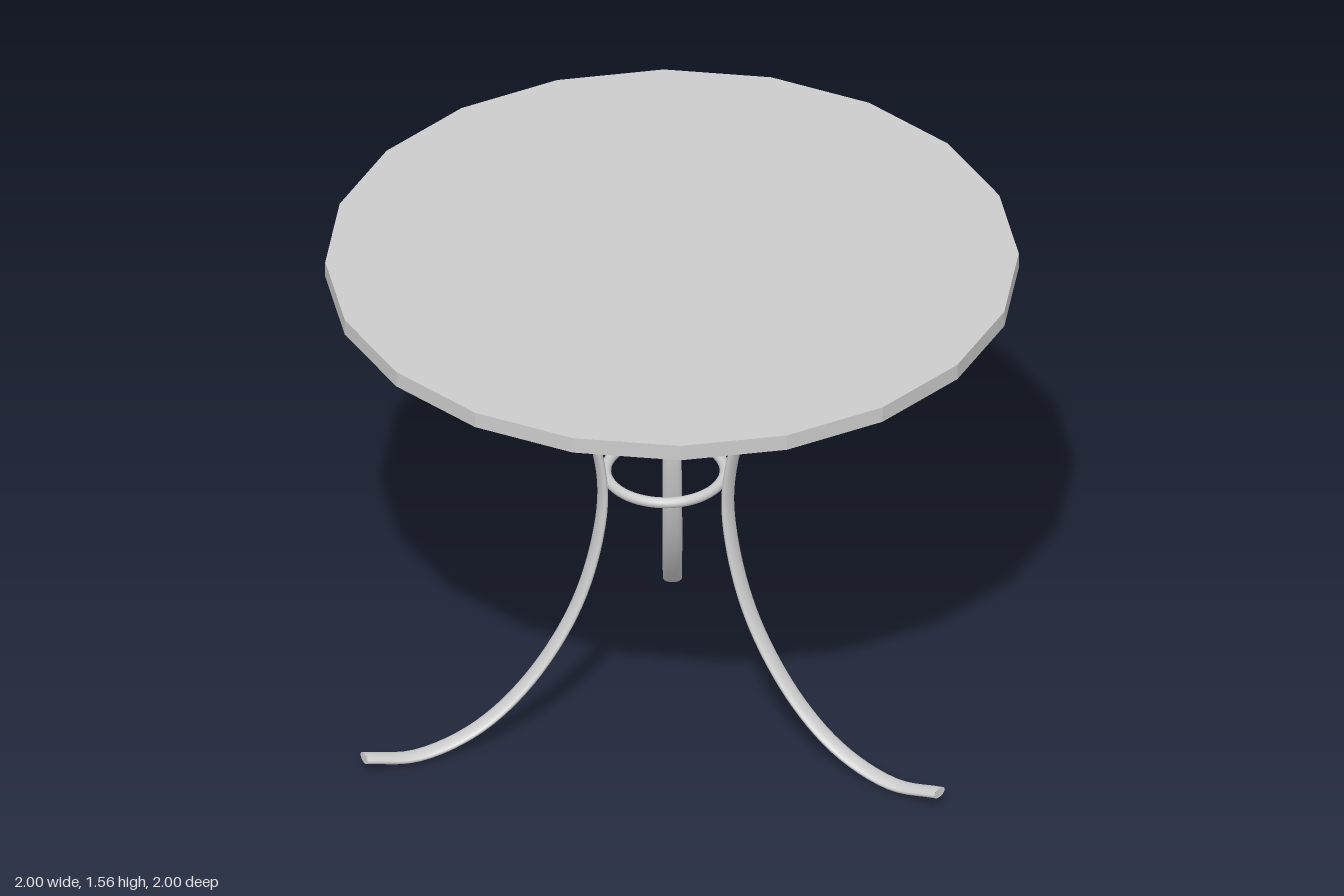
import * as THREE from 'three';
import { mergeGeometries } from 'three/addons/utils/BufferGeometryUtils.js';

const material = new THREE.MeshStandardMaterial({ color: 0xcccccc });
const flatMaterial = new THREE.MeshStandardMaterial({ color: 0xcccccc, flatShading: true });

// Curved strip leg: a round tube in the xy plane, widened sideways, with flat end caps
function legGeometry() {
  const thickness = 0.026, width = 0.056;
  const points = [
    [0.758, 1.467], [0.67, 1.453], [0.44, 1.328], [0.275, 1.12], [0.2, 0.845],
    [0.213, 0.64], [0.29, 0.4], [0.436, 0.187], [0.596, 0.064], [0.78, 0.015], [0.945, 0.045],
  ].map(([r, y]) => new THREE.Vector3(r, y, 0));
  const curve = new THREE.CatmullRomCurve3(points);
  const parts = [new THREE.TubeGeometry(curve, 64, thickness / 2, 16)];
  for (const [t, sign] of [[0, -1], [1, 1]]) {
    const cap = new THREE.CircleGeometry(thickness / 2, 16);
    const out = curve.getTangentAt(t).multiplyScalar(sign);
    cap.applyQuaternion(new THREE.Quaternion().setFromUnitVectors(new THREE.Vector3(0, 0, 1), out));
    const p = curve.getPointAt(t);
    cap.translate(p.x, p.y, p.z);
    parts.push(cap);
  }
  return mergeGeometries(parts).scale(1, 1, width / thickness);
}

export function createModel() {
  const model = new THREE.Group();
  const add = (name, geometry, mat = material) => {
    const mesh = new THREE.Mesh(geometry, mat);
    mesh.name = name;
    model.add(mesh);
    return mesh;
  };

  // Twenty-sided top with flat sides facing the axes
  const top = add('tableTop', new THREE.CylinderGeometry(1.0125, 1.0125, 0.05, 20), flatMaterial);
  top.rotation.y = Math.PI / 20;
  top.position.y = 1.535;

  // Support ring under the top and small ring tying the legs together
  for (const [name, outer, y] of [['topRing', 0.771, 1.492], ['legRing', 0.19, 0.831]]) {
    const tube = 0.016;
    const ring = add(name, new THREE.TorusGeometry(outer - tube, tube, 12, 64).rotateX(Math.PI / 2));
    ring.position.set(-0.025, y, -0.003);
  }

  // Three legs: direction in degrees from +x towards +z, outward shift, lift
  const leg = legGeometry();
  for (const [name, degrees, shift, lift] of [
    ['frontLeg', 80.7, 0, 0], ['rightLeg', 205, 0.02, 0.003], ['leftLeg', 316.5, -0.016, 0.012],
  ]) {
    const a = THREE.MathUtils.degToRad(degrees);
    const mesh = add(name, leg);
    mesh.rotation.y = -a;
    mesh.position.set(shift * Math.cos(a), lift, shift * Math.sin(a));
  }
  return model;
}
